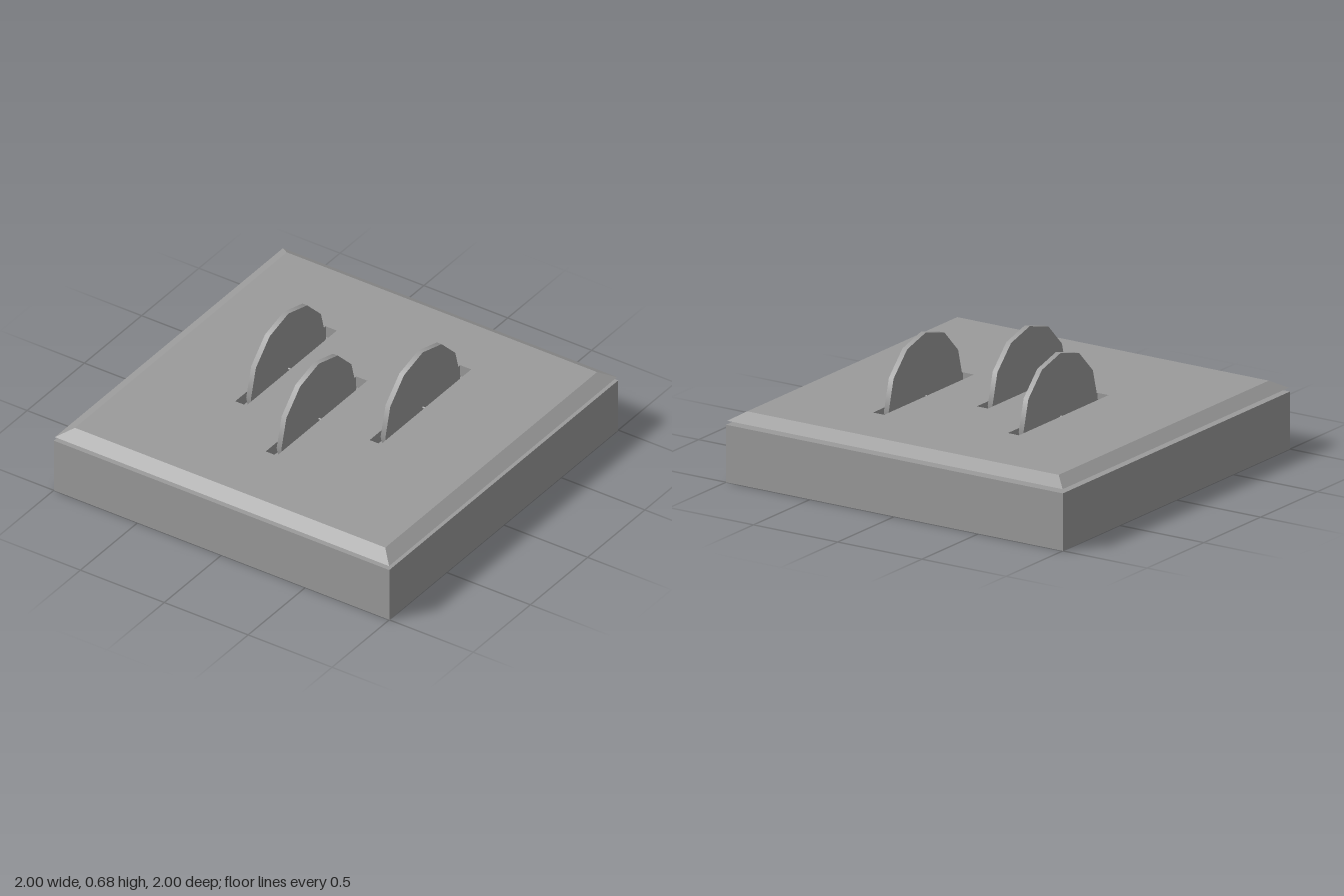
import * as THREE from 'three';

const smooth = new THREE.MeshStandardMaterial({ color: 0x9b9b9b });
const flat = new THREE.MeshStandardMaterial({ color: 0x9b9b9b, flatShading: true });

// Slot and blade centres on the plate: [x, z]
const BLADES = [[-0.37, -0.106], [0, 0.17], [0.367, -0.2]];
const SLOT_W = 0.066, SLOT_L = 0.79;

function rectPoints(cx, cy, w, h) {
  return [[-1, -1], [1, -1], [1, 1], [-1, 1]].map(
    ([sx, sy]) => new THREE.Vector2(cx + sx * w / 2, cy + sy * h / 2));
}

// Square slab pierced by the blade slots
function slottedSlab(half, y0, y1) {
  const shape = new THREE.Shape(rectPoints(0, 0, half * 2, half * 2));
  for (const [x, z] of BLADES) {
    shape.holes.push(new THREE.Path(rectPoints(x, -z, SLOT_W, SLOT_L).reverse()));
  }
  const geo = new THREE.ExtrudeGeometry(shape, { depth: y1 - y0, bevelEnabled: false });
  return geo.rotateX(-Math.PI / 2).translate(0, y0, 0);
}

export function createModel() {
  const model = new THREE.Group();
  const add = (name, geo, mat = flat, parent = model) => {
    const mesh = new THREE.Mesh(geo, mat);
    mesh.name = name;
    parent.add(mesh);
    return mesh;
  };

  // Solid base block
  add('base', new THREE.BoxGeometry(2, 0.297, 2).translate(0, 0.1485, 0));

  // Recessed spacer and the slotted plate above it
  add('spacer', slottedSlab(0.88, 0.297, 0.311));
  add('plate', slottedSlab(0.925, 0.311, 0.36));

  // Bevelled four-sided rim around the plate
  const profile = [[0.87, 0.309], [0.945, 0.31], [0.996, 0.317], [0.925, 0.36]]
    .map(([h, y]) => new THREE.Vector2(h * Math.SQRT2, y));
  add('plateRim', new THREE.LatheGeometry(profile, 4, Math.PI / 4));

  // Round blades on small axles, half sunk through the slots
  for (const [x, z] of BLADES) {
    const unit = new THREE.Group();
    unit.name = 'bladeUnit';
    unit.position.set(x, 0.35, z);
    add('blade', new THREE.CylinderGeometry(0.328, 0.328, 0.028, 12).rotateZ(Math.PI / 2), smooth, unit);
    add('axle', new THREE.CylinderGeometry(0.005, 0.005, SLOT_W, 8).rotateZ(Math.PI / 2), smooth, unit);
    model.add(unit);
  }
  return model;
}
